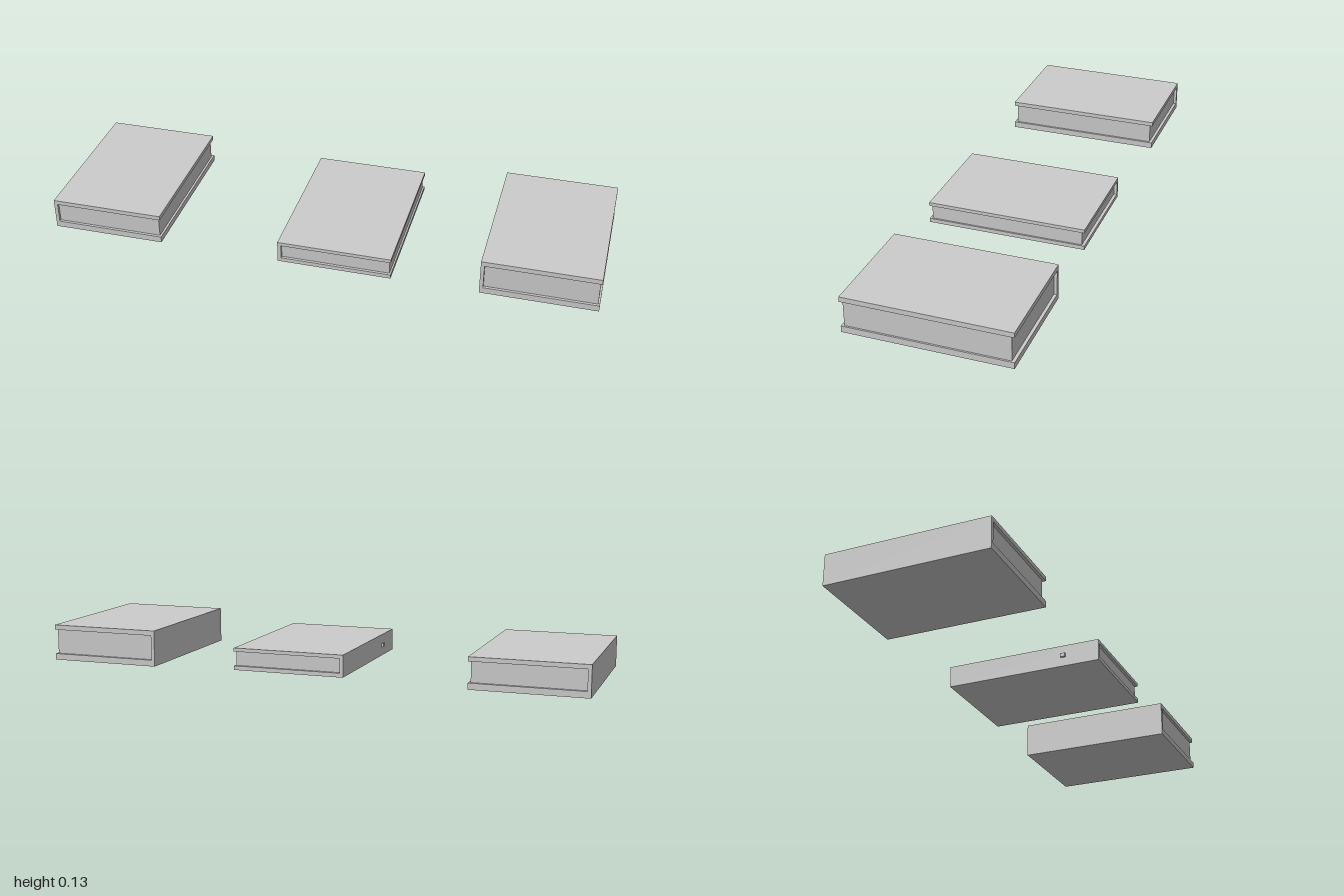
import * as THREE from 'three';

const material = new THREE.MeshStandardMaterial({ color: 0xcccccc, flatShading: true });

function box(name, x0, x1, y0, y1, z0, z1) {
  const mesh = new THREE.Mesh(new THREE.BoxGeometry(x1 - x0, y1 - y0, z1 - z0), material);
  mesh.position.set((x0 + x1) / 2, (y0 + y1) / 2, (z0 + z1) / 2);
  mesh.name = name;
  return mesh;
}

// A closed book lying flat: C-shaped cover with the spine on -x, and a recessed page block.
function createBook({ name, x, y, z, bottom, top, recess }) {
  const book = new THREE.Group();
  book.name = name;
  const [x0, x1] = x, [y0, y1] = y, [z0, z1] = z;
  const spine = x0 + 0.013;

  const profile = new THREE.Shape([
    [x0, y0], [x1, y0], [x1, y0 + bottom], [spine, y0 + bottom],
    [spine, y1 - top], [x1, y1 - top], [x1, y1], [x0, y1],
  ].map(([px, py]) => new THREE.Vector2(px, py)));
  const cover = new THREE.Mesh(
    new THREE.ExtrudeGeometry(profile, { depth: z1 - z0, bevelEnabled: false }), material);
  cover.position.z = z0;
  cover.name = 'cover';

  const pages = box('pages', spine, x1 - recess, y0 + bottom, y1 - top, z0 + 0.011, z1 - 0.01);
  book.add(cover, pages);
  return book;
}

export function createModel() {
  const model = new THREE.Group();
  model.name = 'books';

  const middle = createBook({
    name: 'middleBook', x: [-0.14, 0.273], y: [0.008, 0.088], z: [-0.288, 0.298],
    bottom: 0.015, top: 0.013, recess: 0.006,
  });
  // Small raised mark on the middle spine
  middle.add(box('spineMark', -0.148, -0.14, 0.042, 0.056, 0.154, 0.172));

  model.add(
    createBook({
      name: 'rightBook', x: [-1, -0.587], y: [0, 0.113], z: [-0.298, 0.288],
      bottom: 0.023, top: 0.016, recess: 0.008,
    }),
    middle,
    createBook({
      name: 'leftBook', x: [0.585, 0.998], y: [0.001, 0.133], z: [-0.298, 0.288],
      bottom: 0.023, top: 0.018, recess: 0.006,
    }),
  );
  return model;
}
